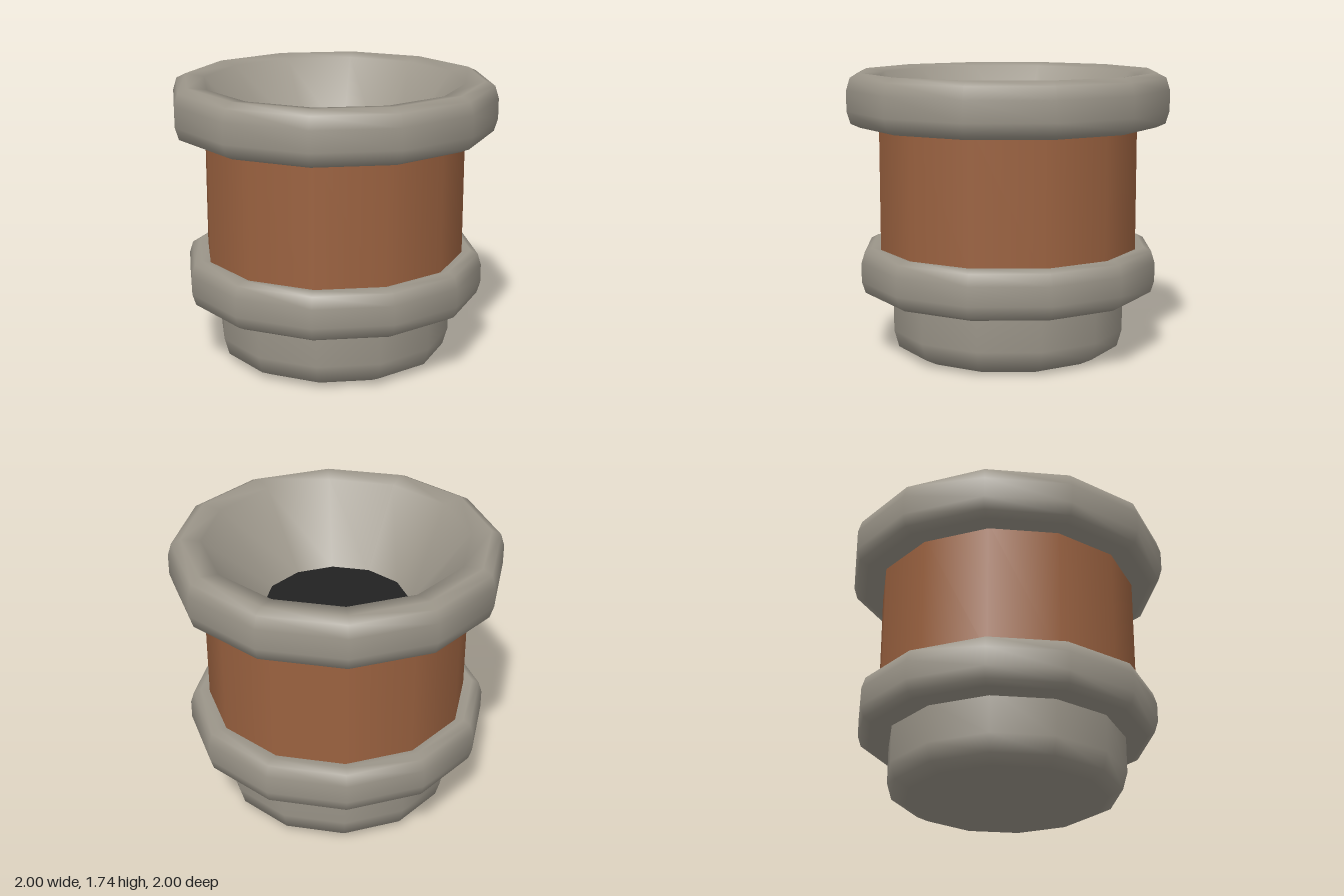
import * as THREE from 'three';

const SIDES = 12;

export function createModel() {
  const group = new THREE.Group();
  const mat = (name, color) => {
    const m = new THREE.MeshStandardMaterial({ color });
    m.name = name;
    return m;
  };
  const stone = mat('warm grey', 0x9c968a);
  const clay = mat('terracotta', 0x9b6240);
  const dark = mat('dark opening', 0x222222);

  // Turns a [radius, height] profile; outer walls run upwards
  const turn = (name, material, profile) => {
    const points = profile.map(([r, y]) => new THREE.Vector2(r, y));
    const mesh = new THREE.Mesh(new THREE.LatheGeometry(points, SIDES), material);
    mesh.name = name;
    group.add(mesh);
  };

  // Foot with rounded lower edge and closed underside
  turn('foot', stone, [[0, 0], [0.61, 0], [0.7, 0.045], [0.73, 0.15], [0.73, 0.4]]);

  // Lower collar
  turn('lowerCollar', stone, [
    [0.7, 0.375], [0.86, 0.375], [0.905, 0.4], [0.927, 0.47],
    [0.927, 0.585], [0.905, 0.655], [0.86, 0.678], [0.78, 0.655],
  ]);

  // Coloured barrel
  turn('barrel', clay, [[0.805, 0.6], [0.805, 1.45]]);

  // Upper rim with its funnel
  turn('upperRim', stone, [
    [0.78, 1.415], [0.92, 1.415], [0.977, 1.44], [1, 1.515],
    [1, 1.64], [0.977, 1.715], [0.92, 1.743], [0.8, 1.725], [0.45, 1.28],
  ]);

  // Dark floor of the funnel
  turn('opening', dark, [[0.455, 1.28], [0, 1.28]]);

  return group;
}
